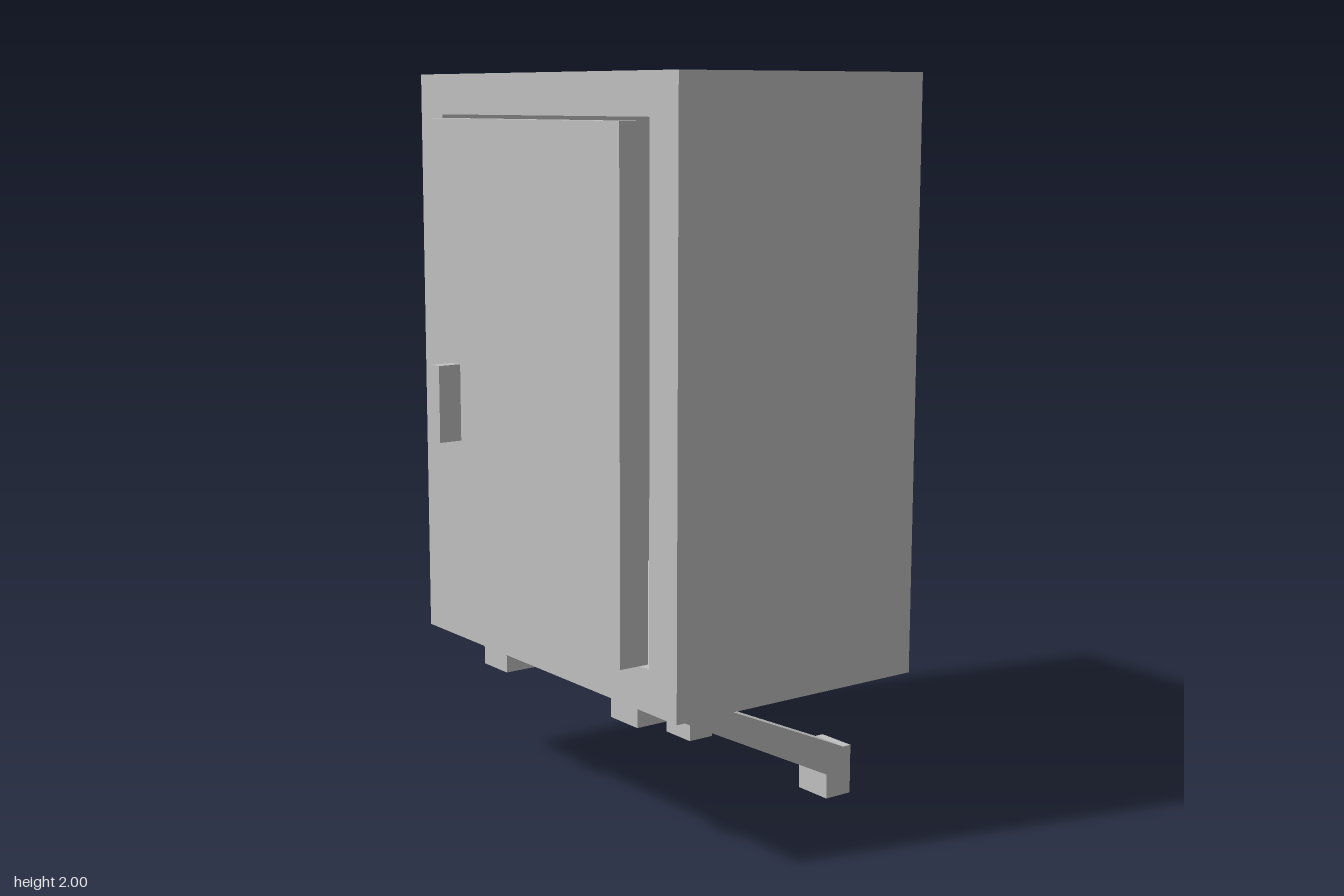
import * as THREE from 'three';

const steel = new THREE.MeshStandardMaterial({ color: 0xc0c0c0, side: THREE.DoubleSide });
steel.name = 'grey steel';

function addMesh(parent, name, geometry, x = 0, y = 0, z = 0) {
  const mesh = new THREE.Mesh(geometry, steel);
  mesh.name = name;
  mesh.position.set(x, y, z);
  parent.add(mesh);
  return mesh;
}

function rectangle(PathType, x0, y0, x1, y1) {
  return new PathType([[x0, y0], [x1, y0], [x1, y1], [x0, y1]].map(p => new THREE.Vector2(...p)));
}

// Bent sheet-metal leg, left open at the rear of the foot
function legGeometry(width) {
  const profile = [
    [-0.462, 0.14], [-0.435, 0.14], [0.16, 0.4], [0.28, 0.4],
    [0.28, 0.33], [0.16, 0.33], [-0.375, 0.07], [-0.375, 0], [-0.462, 0],
  ]; // z, y
  const h = width / 2, pos = [];
  const tri = (a, b, c) => pos.push(...a, ...b, ...c);
  const at = (x, i) => [x, profile[i][1], profile[i][0]];
  for (let i = 0; i < profile.length - 1; i++) {
    tri(at(-h, i), at(-h, i + 1), at(h, i + 1));
    tri(at(-h, i), at(h, i + 1), at(h, i));
  }
  const faces = THREE.ShapeUtils.triangulateShape(profile.map(p => new THREE.Vector2(...p)), []);
  for (const [a, b, c] of faces) {
    // Orient each side panel outward
    const [p, q, r] = [profile[a], profile[b], profile[c]];
    const turn = (q[0] - p[0]) * (r[1] - p[1]) - (q[1] - p[1]) * (r[0] - p[0]);
    const [m, n] = turn > 0 ? [b, c] : [c, b];
    tri(at(-h, a), at(-h, m), at(-h, n));
    tri(at(h, a), at(h, n), at(h, m));
  }
  const geometry = new THREE.BufferGeometry();
  geometry.setAttribute('position', new THREE.Float32BufferAttribute(pos, 3));
  geometry.computeVertexNormals();
  return geometry;
}

export function createModel() {
  const model = new THREE.Group();
  model.name = 'cabinet';

  // Hollow body with a door opening
  const outline = rectangle(THREE.Shape, -0.6, 0.405, 0.6, 2);
  outline.holes.push(rectangle(THREE.Path, -0.485, 0.52, 0.485, 1.89));
  const walls = new THREE.ExtrudeGeometry(outline, { depth: 0.787, bevelEnabled: false });
  addMesh(model, 'bodyWalls', walls, 0, 0, -0.462);
  addMesh(model, 'backPanel', new THREE.BoxGeometry(0.97, 1.37, 0.06), 0, 1.205, -0.432);

  // Door, standing very slightly ajar
  const door = addMesh(model, 'door', new THREE.BoxGeometry(0.949, 1.35, 0.085), -0.002, 1.205, 0.355);
  door.rotation.y = -0.0158;

  // Handle
  addMesh(model, 'handle', new THREE.BoxGeometry(0.038, 0.212, 0.067), -0.309, 1.11, 0.431);

  // Hinges and latch in the gap around the door
  for (const [y, height] of [[1.69, 0.24], [0.68, 0.16]]) {
    addMesh(model, 'hinge', new THREE.BoxGeometry(0.006, height, 0.03), -0.483, y, 0.305);
  }
  addMesh(model, 'latch', new THREE.BoxGeometry(0.01, 0.09, 0.03), 0.48, 1.225, 0.3);

  // Pair of legs
  const leg = legGeometry(0.118);
  for (const side of [-1, 1]) {
    addMesh(model, side < 0 ? 'rightLeg' : 'leftLeg', leg, side * 0.314, 0, 0);
  }
  return model;
}
